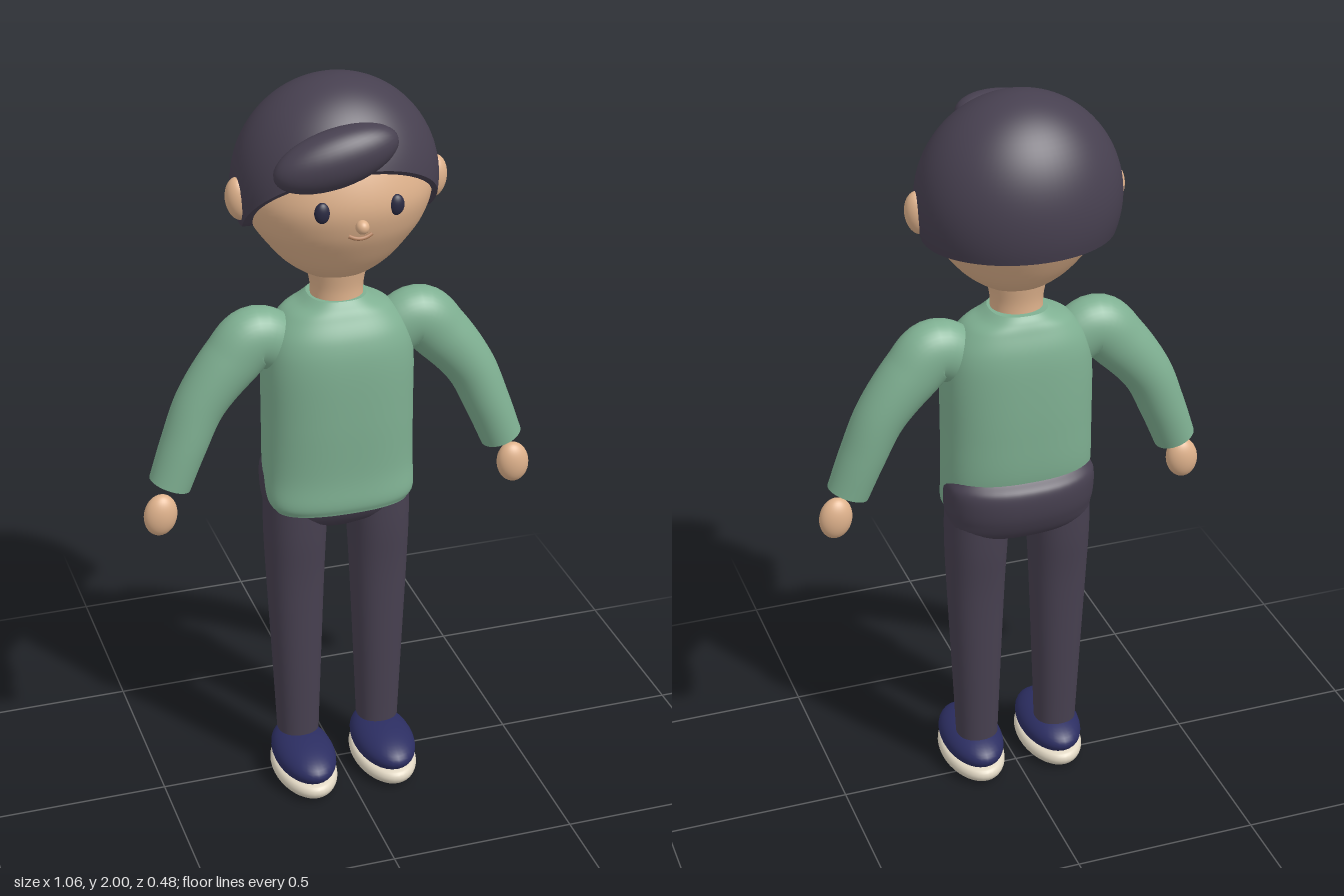
import * as THREE from 'three';

const paint = (name, color) => {
  const m = new THREE.MeshStandardMaterial({ color });
  m.name = name;
  return m;
};

// Closed tube from a ring function point(t, angle); the flat ends get their own vertices so rims stay crisp
function loft(point, steps, segs, caps) {
  const pos = [], index = [];
  const ring = (t) => {
    const start = pos.length / 3;
    for (let i = 0; i < segs; i++) pos.push(...point(t, (i / segs) * Math.PI * 2).toArray());
    return start;
  };
  for (let j = 0; j <= steps; j++) {
    const b = ring(j / steps), a = b - segs;
    for (let i = 0; j > 0 && i < segs; i++) {
      const k = (i + 1) % segs;
      index.push(a + i, b + i, a + k, a + k, b + i, b + k);
    }
  }
  caps.forEach((centre, end) => {
    if (!centre) return;
    const s = ring(end), c = pos.length / 3;
    pos.push(...centre.toArray());
    for (let i = 0; i < segs; i++) {
      const k = (i + 1) % segs;
      if (end) index.push(s + k, s + i, c);
      else index.push(s + i, s + k, c);
    }
  });
  const g = new THREE.BufferGeometry();
  g.setAttribute('position', new THREE.Float32BufferAttribute(pos, 3));
  g.setIndex(index);
  g.computeVertexNormals();
  return g;
}

// Smooth body from sections [x, y, z, half width, half depth]; power above 2 squares the section
function body(sections, power = 2, steps = 40, segs = 40) {
  const spline = (f) => new THREE.CatmullRomCurve3(sections.map(f), false, 'catmullrom', 0.5);
  const path = spline((s) => new THREE.Vector3(s[0], s[1], s[2]));
  const size = spline((s) => new THREE.Vector3(s[3], s[4], 0));
  const bend = (v) => Math.sign(v) * Math.abs(v) ** (2 / power);
  const point = (t, a) => {
    const c = path.getPoint(t), r = size.getPoint(t), d = path.getTangent(t);
    const len = Math.hypot(d.x, d.y), u = bend(Math.cos(a)) * r.x;
    return new THREE.Vector3(c.x + (d.y / len) * u, c.y - (d.x / len) * u, c.z + bend(Math.sin(a)) * r.y);
  };
  return loft(point, steps, segs, [path.getPoint(0), path.getPoint(1)]);
}

// Hair dome, level at the back and rising in a slope over the face
function hairDome() {
  const at = (theta, a) => new THREE.Vector3(
    0.265 * Math.sin(theta) * Math.cos(a),
    1.73 + 0.27 * Math.cos(theta),
    -0.02 + 0.222 * Math.sin(theta) * Math.sin(a));
  const cut = (a) => {
    let lo = 0, hi = Math.PI;
    for (let i = 0; i < 30; i++) {
      const mid = (lo + hi) / 2, p = at(mid, a);
      if (p.y > 1.635 + Math.max(0, p.z) * 0.97) lo = mid;
      else hi = mid;
    }
    return lo;
  };
  return loft((t, a) => at(cut(a) * (1 - t), a), 28, 72, [new THREE.Vector3(0, 1.635, 0), null]);
}

export function createModel() {
  const model = new THREE.Group();
  const skin = paint('skin', 0xdfb28c);
  const dark = paint('hair and trousers', 0x474050);
  const green = paint('sweater green', 0x7fb092);
  const navy = paint('shoe navy', 0x2c2e62);
  const cream = paint('sole cream', 0xe2d8c4);
  const ink = paint('eye ink', 0x2a2a42);
  const lip = paint('lip', 0xb5825f);

  const add = (name, geometry, material) => {
    const m = new THREE.Mesh(geometry, material);
    m.name = name;
    model.add(m);
    return m;
  };
  const ball = (name, material, centre, radii, tilt = 0) => {
    const g = new THREE.SphereGeometry(1, 32, 24).scale(...radii).rotateZ(tilt);
    add(name, g, material).position.set(...centre);
  };

  // Head, tapering to the chin
  const headProfile = [[1.468, 0.005], [1.487, 0.07], [1.53, 0.135], [1.59, 0.188], [1.65, 0.226],
    [1.72, 0.243], [1.8, 0.22], [1.87, 0.175], [1.92, 0.11], [1.95, 0.005]];
  add('head', body(headProfile.map(([y, r]) => [0, y, -0.005, r, r * 0.84]), 2, 48, 48), skin);
  add('neck', body([[0, 1.39, -0.005, 0.07, 0.066], [0, 1.45, -0.005, 0.069, 0.065], [0, 1.51, -0.005, 0.08, 0.075]]), skin);
  add('hair', hairDome(), dark);
  ball('quiff', dark, [-0.058, 1.857, 0.175], [0.161, 0.073, 0.065], 0.24);

  // Face
  ball('nose', skin, [0, 1.683, 0.203], [0.017, 0.018, 0.018]);
  const smile = new THREE.QuadraticBezierCurve3(
    new THREE.Vector3(-0.03, 1.657, 0.187), new THREE.Vector3(0, 1.639, 0.194), new THREE.Vector3(0.03, 1.657, 0.187));
  add('mouth', new THREE.TubeGeometry(smile, 16, 0.005, 8), lip);

  // Sweater torso, cut shorter behind by the seat of the trousers
  add('torso', body([
    [0, 0.84, 0.035, 0.18, 0.08], [0, 0.87, 0.028, 0.198, 0.095], [0, 0.95, 0.003, 0.202, 0.118],
    [0, 1.1, 0, 0.201, 0.129], [0, 1.25, 0, 0.2, 0.131], [0, 1.33, -0.003, 0.185, 0.122],
    [0, 1.385, -0.008, 0.145, 0.1], [0, 1.41, -0.01, 0.1, 0.087], [0, 1.427, -0.01, 0.076, 0.076],
  ], 2.4, 56, 56), green);

  // Trousers seat
  add('seat', body([
    [0, 0.768, -0.01, 0.07, 0.05], [0, 0.8, -0.015, 0.18, 0.092], [0, 0.85, -0.017, 0.199, 0.118],
    [0, 0.9, -0.021, 0.204, 0.124], [0, 0.94, -0.027, 0.202, 0.113], [0, 0.965, -0.03, 0.19, 0.085],
  ], 2.3), dark);

  for (const [side, s] of [['left', 1], ['right', -1]]) {
    // Ears and eyes
    ball(side + 'Ear', skin, [s * 0.253, 1.712, 0], [0.036, 0.057, 0.034], s * -0.12);
    ball(side + 'Eye', ink, [s * 0.095, 1.722, 0.18], [0.02, 0.027, 0.014]);

    // Sleeve bent at the elbow, and the hand below it
    add(side + 'Sleeve', body([
      [s * 0.12, 1.28, -0.003, 0.07, 0.06], [s * 0.215, 1.33, -0.002, 0.083, 0.071],
      [s * 0.285, 1.272, -0.002, 0.078, 0.072], [s * 0.365, 1.17, 0, 0.067, 0.068],
      [s * 0.415, 1.06, 0.006, 0.061, 0.064], [s * 0.457, 0.953, 0.012, 0.056, 0.056],
    ]), green);
    ball(side + 'Hand', skin, [s * 0.488, 0.873, 0.027], [0.044, 0.058, 0.032], s * 0.15);

    // Trouser leg
    add(side + 'Leg', body([
      [s * 0.115, 0.13, 0.002, 0.057, 0.056], [s * 0.116, 0.35, -0.001, 0.066, 0.065],
      [s * 0.117, 0.6, -0.005, 0.077, 0.074], [s * 0.116, 0.75, -0.008, 0.083, 0.086],
      [s * 0.112, 0.87, -0.01, 0.086, 0.09],
    ], 2.2), dark);

    // Shoe with a flat-bottomed sole
    ball(side + 'Shoe', navy, [s * 0.115, 0.077, 0.055], [0.083, 0.053, 0.148]);
    add(side + 'Sole', body([
      [s * 0.115, 0, 0.055, 0.058, 0.12], [s * 0.115, 0.013, 0.055, 0.079, 0.142],
      [s * 0.115, 0.03, 0.055, 0.086, 0.151], [s * 0.115, 0.046, 0.055, 0.08, 0.144],
      [s * 0.115, 0.053, 0.055, 0.065, 0.12],
    ], 2, 16), cream);
  }
  return model;
}
